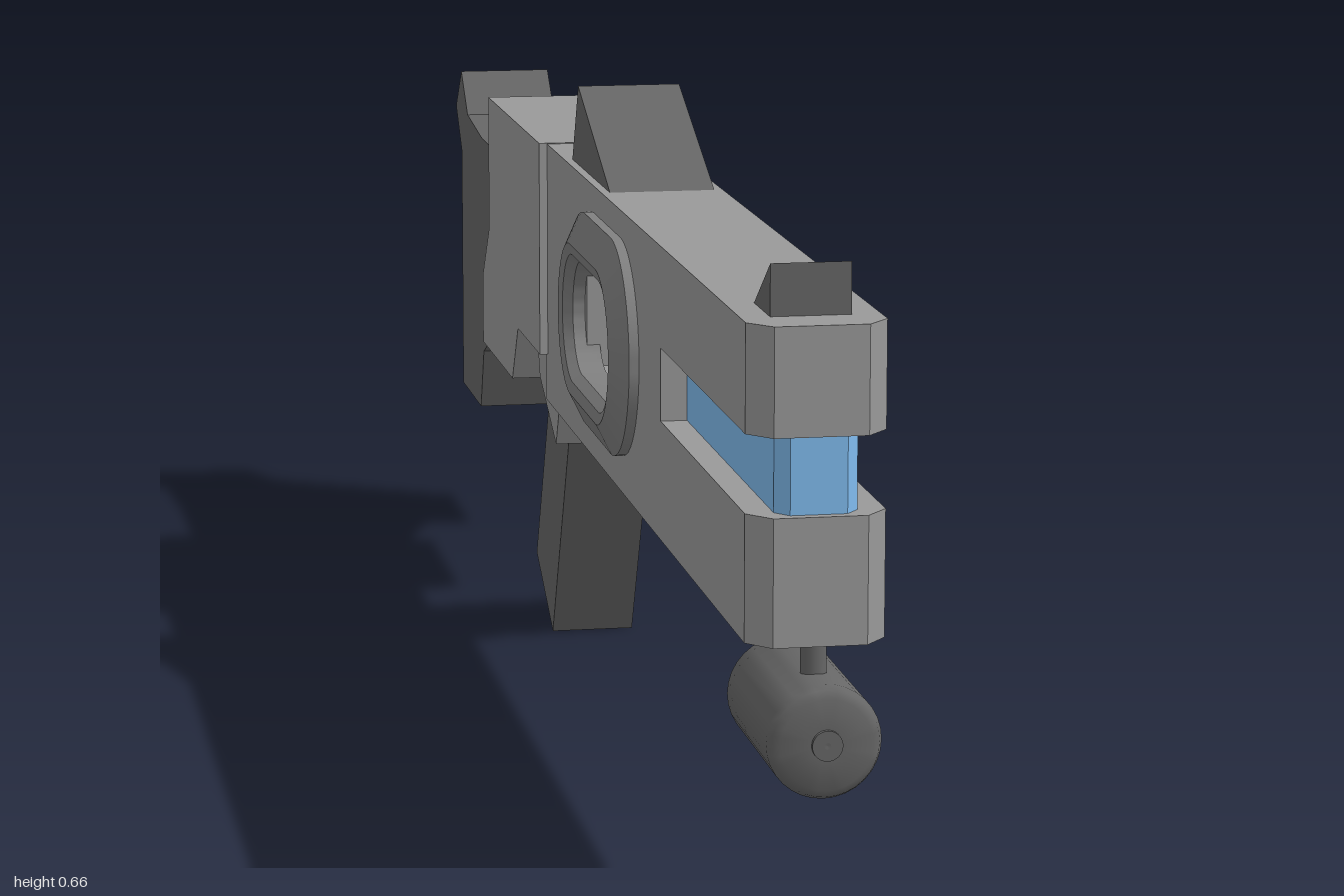
import * as THREE from 'three';
import { toCreasedNormals } from 'three/addons/utils/BufferGeometryUtils.js';

const body = new THREE.MeshStandardMaterial({ color: 0x999999 });
const dark = new THREE.MeshStandardMaterial({ color: 0x666666 });
const ringGrey = new THREE.MeshStandardMaterial({ color: 0x808080, side: THREE.DoubleSide });
const pale = new THREE.MeshStandardMaterial({ color: 0xcccccc });
const facet = new THREE.MeshStandardMaterial({ color: 0xcccccc, flatShading: true });
const blue = new THREE.MeshStandardMaterial({ color: 0x80bbee });

const CZ = 0.207, CY = 0.437; // centre of the side window

export function createModel() {
  const model = new THREE.Group();

  const add = (name, geometry, material, parent = model) => {
    const mesh = new THREE.Mesh(geometry, material);
    mesh.name = name;
    parent.add(mesh);
    return mesh;
  };
  const toShape = pts => new THREE.Shape(pts.map(p => new THREE.Vector2(p[0], p[1])));

  // Side outline of [z, y] points, extruded across the width
  const sideGeo = (pts, half, hole) => {
    const shape = toShape(pts);
    if (hole) shape.holes.push(new THREE.Path(hole.map(p => new THREE.Vector2(p[0], p[1]))));
    return new THREE.ExtrudeGeometry(shape, { depth: 2 * half, bevelEnabled: false })
      .translate(0, 0, -half).rotateY(-Math.PI / 2);
  };
  // Bar along z with chamfered front corners
  const barGeo = (half, nose, z0, z1, chamferZ, y0, y1) => {
    const pts = [[-half, z0], [half, z0], [half, chamferZ], [nose, z1], [-nose, z1], [-half, chamferZ]];
    return new THREE.ExtrudeGeometry(toShape(pts.map(([x, z]) => [x, -z])), { depth: y1 - y0, bevelEnabled: false })
      .rotateX(-Math.PI / 2).translate(0, y0, 0);
  };
  // Cylinder between two points
  const rodGeo = (a, b, r) => {
    const dir = new THREE.Vector3().subVectors(b, a);
    const q = new THREE.Quaternion().setFromUnitVectors(new THREE.Vector3(0, 1, 0), dir.clone().normalize());
    const mid = a.clone().add(b).multiplyScalar(0.5);
    return new THREE.CylinderGeometry(r, r, dir.length(), 16).applyQuaternion(q).translate(mid.x, mid.y, mid.z);
  };

  // Main body with the window, and the split front end
  add('mainBody', sideGeo(
    [[0.52, 0.287], [0.52, 0.577], [-0.2, 0.577], [-0.2, 0.287]], 0.064,
    [[0.335, 0.377], [0.08, 0.377], [0.08, 0.496], [0.335, 0.496]]), body);
  add('upperFrontRail', barGeo(0.064, 0.043, 0.52, 0.965, 0.94, 0.477, 0.577), body);
  add('lowerFrontRail', barGeo(0.064, 0.043, 0.52, 0.965, 0.94, 0.287, 0.405), body);
  add('frontInsert', barGeo(0.038, 0.026, 0.5, 0.955, 0.94, 0.4, 0.48), blue);

  // Rear housing
  add('rearHousing', sideGeo([
    [-0.19, 0.578], [-0.19, 0.34], [-0.355, 0.34], [-0.4, 0.273],
    [-0.64, 0.273], [-0.64, 0.355], [-0.585, 0.42], [-0.585, 0.578]], 0.073), body);

  // Shoulder stock
  add('stock', sideGeo([
    [-0.56, 0.503], [-0.77, 0.503], [-0.895, 0.515], [-0.95, 0.563], [-1, 0.513], [-0.95, 0.462],
    [-0.95, 0.163], [-0.79, 0.163], [-0.762, 0.238], [-0.67, 0.276], [-0.56, 0.276]], 0.055), dark);

  // Grip and its collar
  add('gripCollar', sideGeo([
    [-0.13, 0.3], [-0.13, 0.287], [-0.152, 0.245], [-0.268, 0.3], [-0.288, 0.345], [-0.13, 0.345]], 0.061), body);
  add('grip', sideGeo([
    [-0.152, 0.254], [-0.275, 0], [-0.395, 0.066], [-0.275, 0.312], [-0.2, 0.32]], 0.046), dark);

  // Rear sight with its screen, and the front sight
  add('rearSight', sideGeo([[0.19, 0.57], [-0.03, 0.662], [-0.073, 0.57]], 0.055), dark);
  add('sightScreen', sideGeo([
    [-0.034, 0.652], [-0.069, 0.579], [-0.073, 0.581], [-0.038, 0.654]], 0.046), blue);
  add('frontSight', sideGeo([[0.915, 0.57], [0.915, 0.625], [0.832, 0.57]], 0.037), dark);

  // Window frames: rounded-slot loops swept along a profile of [x, radius]
  const profile = [[0.055, 0.112], [0.074, 0.112], [0.09, 0.08], [0.087, 0.068], [0.077, 0.06], [0.05, 0.06]];
  const n = 48, straight = 0.08, pos = [], index = [];
  profile.forEach(([x, r], i) => {
    for (let j = 0; j < n; j++) {
      const a = ((j + 0.5) / n) * Math.PI * 2;
      pos.push(x, r * Math.sin(a), Math.sign(Math.cos(a)) * straight + r * Math.cos(a));
      if (i === profile.length - 1) continue;
      const p = i * n + j, q = i * n + (j + 1) % n;
      index.push(p, p + n, q, q, p + n, q + n);
    }
  });
  let frameGeo = new THREE.BufferGeometry();
  frameGeo.setAttribute('position', new THREE.Float32BufferAttribute(pos, 3));
  frameGeo.setIndex(index);
  frameGeo = toCreasedNormals(frameGeo, 0.6);
  for (const [name, turn] of [['leftWindowFrame', 0], ['rightWindowFrame', Math.PI]]) {
    const frame = add(name, frameGeo, ringGrey);
    frame.position.set(0, CY, CZ);
    frame.rotation.y = turn;
  }

  // Coil rings at both ends of the window
  const coils = new THREE.Group();
  coils.name = 'coils';
  model.add(coils);
  const coilGeo = new THREE.TorusGeometry(0.042, 0.006, 8, 32).rotateX(Math.PI / 2);
  for (const s of [-1, 1]) {
    for (const dy of [-0.021, 0, 0.021]) {
      add('coilRing', coilGeo, pale, coils).position.set(0, CY + dy, CZ + s * 0.16);
    }
  }

  // Faceted crystal floating in the window
  const crystal = add('crystal', new THREE.SphereGeometry(1, 8, 5).rotateX(Math.PI / 2), facet);
  const cp = crystal.geometry.attributes.position;
  for (let i = 0; i < cp.count; i++) {
    const pinch = 1 - 0.3 * Math.abs(cp.getZ(i));
    cp.setXY(i, cp.getX(i) * pinch, cp.getY(i) * pinch);
  }
  crystal.geometry.computeVertexNormals();
  crystal.scale.set(0.045, 0.056, 0.086);
  crystal.position.set(0, CY, CZ + 0.003);

  // Under-barrel lamp with hub, post and brace
  const lampProfile = [[0, 0], [0.042, 0], [0.049, 0.003], [0.0525, 0.01], [0.0525, 0.19],
    [0.049, 0.198], [0.042, 0.203], [0.014, 0.203], [0.014, 0.207], [0.003, 0.207], [0, 0.205]];
  const lampGeo = new THREE.LatheGeometry(lampProfile.map(p => new THREE.Vector2(...p)), 32).rotateX(Math.PI / 2);
  add('lamp', toCreasedNormals(lampGeo, 0.7), dark).position.set(0, 0.205, 0.793);
  add('lampPost', rodGeo(new THREE.Vector3(0, 0.22, 0.935), new THREE.Vector3(0, 0.3, 0.935), 0.012), dark);
  add('lampBrace', rodGeo(new THREE.Vector3(0, 0.19, 0.805), new THREE.Vector3(0, 0.3, 0.69), 0.013), dark);

  return model;
}
